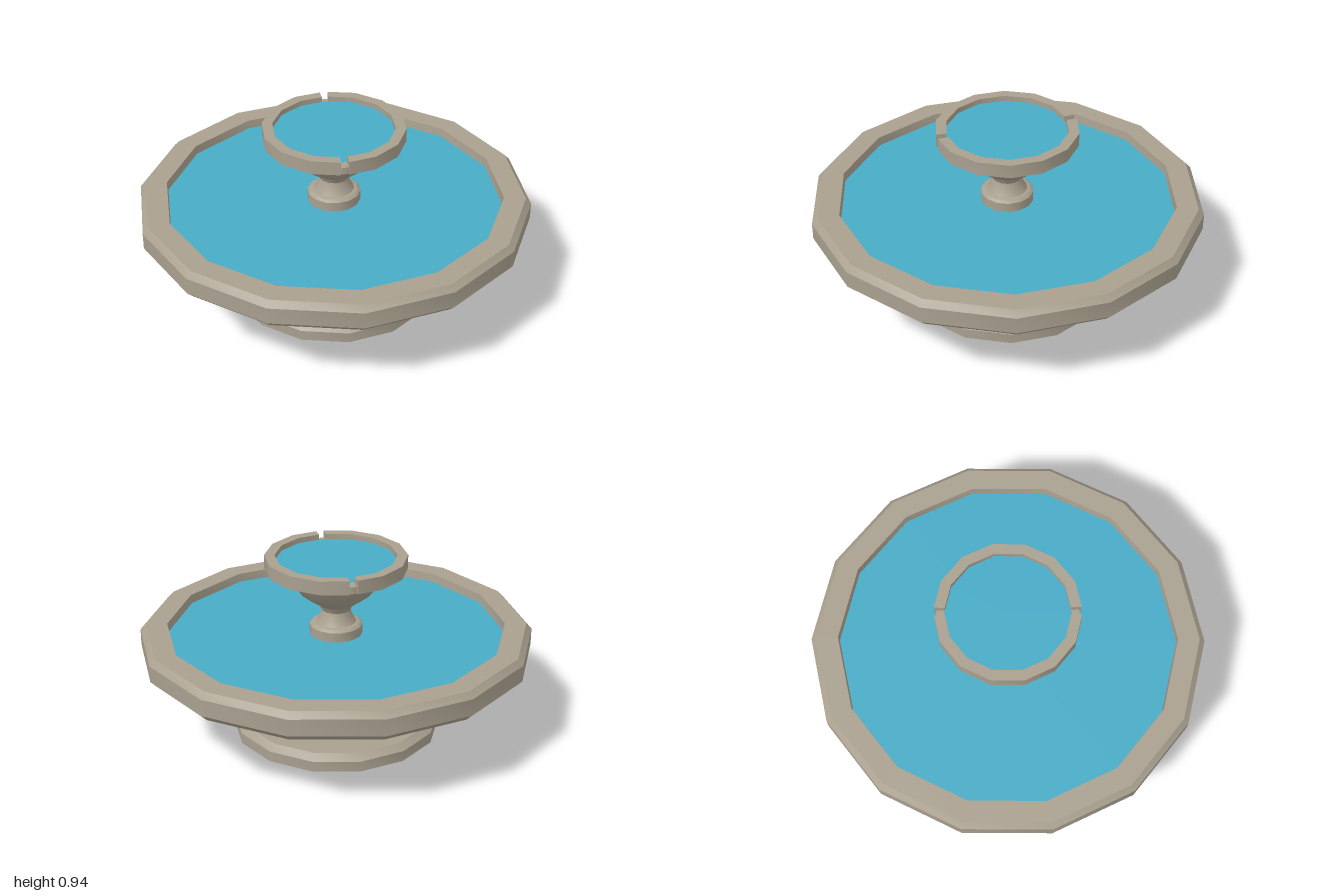
import * as THREE from 'three';
import { toCreasedNormals } from 'three/addons/utils/BufferGeometryUtils.js';

const SIDES = 14;
const STEP = (Math.PI * 2) / SIDES;
const TURN = THREE.MathUtils.degToRad(2.2); // slight twist of the polygon
const CREASE = 0.6;

export function createModel() {
  const stone = new THREE.MeshStandardMaterial({ color: 0xa9a08f, side: THREE.DoubleSide });
  stone.name = 'stone';
  const water = new THREE.MeshStandardMaterial({ color: 0x48abc6, side: THREE.DoubleSide });
  water.name = 'water';

  const fountain = new THREE.Group();
  fountain.name = 'fountain';

  const add = (name, geometry, material) => {
    const mesh = new THREE.Mesh(geometry, material);
    mesh.name = name;
    fountain.add(mesh);
    return mesh;
  };

  // Turned part from [radius, height] pairs
  const turned = (name, profile) => {
    const points = profile.map(([r, y]) => new THREE.Vector2(r, y));
    add(name, toCreasedNormals(new THREE.LatheGeometry(points, SIDES, TURN), CREASE), stone);
  };

  // Flat water surface
  const pool = (name, radius, y) => {
    const disc = new THREE.CircleGeometry(radius, SIDES);
    disc.rotateX(-Math.PI / 2).rotateY(TURN - Math.PI / 2);
    add(name, disc, water).position.y = y;
  };

  // Point on the polygon outline at any angle
  const outline = (r, phi) => {
    const rel = (((phi - TURN) % STEP) + STEP) % STEP;
    const d = (r * Math.cos(STEP / 2)) / Math.cos(rel - STEP / 2);
    return new THREE.Vector2(d * Math.sin(phi), -d * Math.cos(phi));
  };

  // Piece of a polygonal ring between two angles
  const ringPiece = (name, from, to, inner, outer, y0, y1) => {
    const angles = [from];
    for (let k = 0; k < SIDES * 2; k++) {
      const a = TURN + k * STEP;
      if (a > from + 0.001 && a < to - 0.001) angles.push(a);
    }
    angles.push(to);
    const shape = new THREE.Shape([
      ...angles.map((a) => outline(outer, a)),
      ...angles.slice().reverse().map((a) => outline(inner, a)),
    ]);
    const geometry = new THREE.ExtrudeGeometry(shape, { depth: y1 - y0, bevelEnabled: false });
    geometry.rotateX(-Math.PI / 2);
    add(name, toCreasedNormals(geometry, CREASE), stone).position.y = y0;
  };

  // Foot and hollow pedestal
  turned('base', [[0.29, 0], [0.535, 0], [0.535, 0.055], [0.5, 0.085], [0.285, 0.085]]);
  turned('pedestal', [[0.29, 0], [0.29, 0.085], [0.245, 0.235], [0.29, 0.31]]);

  // Wide lower basin with a thick rim
  turned('lowerBasin', [
    [0.29, 0.31], [0.965, 0.415], [1, 0.45], [1, 0.535], [0.972, 0.565],
    [0.862, 0.565], [0.855, 0.5],
  ]);
  pool('lowerWater', 0.858, 0.52);

  // Stem flaring into the upper bowl
  turned('stem', [
    [0.135, 0.5], [0.135, 0.57], [0.122, 0.582], [0.103, 0.585], [0.085, 0.615],
    [0.074, 0.65], [0.09, 0.68],
  ]);
  turned('upperBowl', [
    [0.09, 0.68], [0.135, 0.71], [0.185, 0.75], [0.22, 0.8], [0.27, 0.872], [0.31, 0.872],
  ]);
  pool('upperWater', 0.308, 0.912);

  // Upper rim in two halves with a low spout in each gap
  const gapStart = THREE.MathUtils.degToRad(51);
  const gapEnd = THREE.MathUtils.degToRad(57.5);
  for (let i = 0; i < 2; i++) {
    const half = i * Math.PI;
    ringPiece('upperRim', gapEnd + half, gapStart + half + Math.PI, 0.307, 0.36, 0.87, 0.94);
    ringPiece('spout', gapStart + half, gapEnd + half, 0.3, 0.348, 0.87, 0.905);
  }

  return fountain;
}
